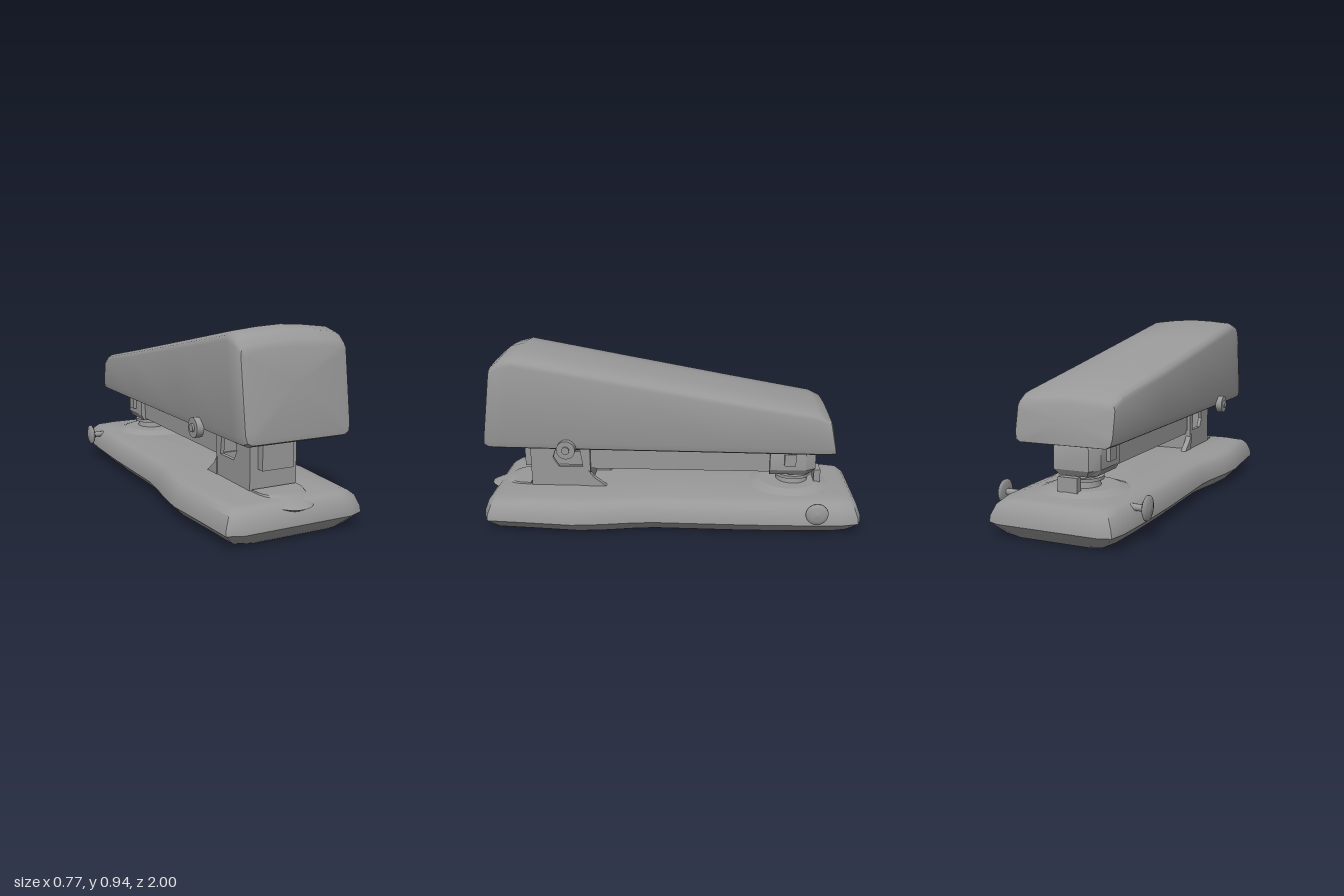
import * as THREE from 'three';
import { toCreasedNormals } from 'three/addons/utils/BufferGeometryUtils.js';

// Skin stacked rings of [x, y, z] points (counter-clockwise seen from the last ring) and cap both ends
function loft(rings, crease = 0.75) {
  const n = rings[0].length, pos = rings.flat(2), idx = [];
  for (let i = 0; i < rings.length - 1; i++) {
    for (let j = 0; j < n; j++) {
      const a = i * n + j, b = i * n + (j + 1) % n;
      idx.push(a, b, b + n, a, b + n, a + n);
    }
  }
  [rings[0], rings[rings.length - 1]].forEach((ring, end) => {
    const c = pos.length / 3, start = end ? (rings.length - 1) * n : 0;
    pos.push(...[0, 1, 2].map(k => ring.reduce((s, p) => s + p[k], 0) / n));
    for (let j = 0; j < n; j++) {
      const a = start + j, b = start + (j + 1) % n;
      idx.push(...(end ? [c, a, b] : [c, b, a]));
    }
  });
  const g = new THREE.BufferGeometry();
  g.setAttribute('position', new THREE.Float32BufferAttribute(pos, 3));
  g.setIndex(idx);
  return toCreasedNormals(g, crease);
}

export function createModel() {
  const group = new THREE.Group();
  const grey = new THREE.MeshStandardMaterial({ color: 0x999999 });
  grey.name = 'grey';

  const add = (name, geometry, x = 0, y = 0, z = 0) => {
    const mesh = new THREE.Mesh(geometry, grey);
    mesh.name = name;
    mesh.position.set(x, y, z);
    group.add(mesh);
    return mesh;
  };
  // Box given by its limits
  const box = (name, x0, x1, y0, y1, z0, z1) => add(name,
    new THREE.BoxGeometry(x1 - x0, y1 - y0, z1 - z0), (x0 + x1) / 2, (y0 + y1) / 2, (z0 + z1) / 2);

  // Base: waisted outline [z, half width], stacked with insets for the rounded edge
  const outline = [[0.975, 0.28], [0.945, 0.355], [0.72, 0.37], [0.5, 0.387], [0.35, 0.372], [0.2, 0.347],
    [0.08, 0.334], [-0.4, 0.34], [-0.7, 0.335], [-0.9, 0.325], [-0.98, 0.305], [-1, 0.25]];
  const layers = [[0, 0.08], [0.012, 0.06], [0.07, 0], [0.1, 0.004], [0.15, 0.025], [0.172, 0.05], [0.181, 0.09]];
  add('base', loft(layers.map(([y, inset]) => {
    const side = outline.map(([z, w]) => [w - inset, y, z * (1 - inset * 0.85)]);
    return [...side, ...side.map(([x, h, z]) => [-x, h, z]).reverse()];
  })));

  // Top cover: sections from back to front [z bottom, z top, y bottom, y top, half width, shoulder]
  const sections = [
    [-0.86, -0.825, 0.42, 0.6, 0.225, 0.04], [-0.855, -0.81, 0.418, 0.63, 0.245, 0.05],
    [-0.79, -0.75, 0.418, 0.658, 0.253, 0.05], [-0.3, -0.3, 0.424, 0.738, 0.262, 0.055],
    [0.3, 0.3, 0.43, 0.848, 0.27, 0.06], [0.86, 0.78, 0.436, 0.936, 0.276, 0.06],
    [0.93, 0.85, 0.438, 0.918, 0.276, 0.06], [0.957, 0.897, 0.45, 0.88, 0.268, 0.05],
    [0.96, 0.91, 0.475, 0.85, 0.24, 0.04]];
  add('cover', loft(sections.map(([zb, zt, yb, yt, w, s]) => {
    const half = [[0.88 * w, yb], [0.97 * w, yb + 0.012], [w, yb + 0.045], [w, yt - s],
      [0.97 * w, yt - s * 0.6], [0.88 * w, yt - s * 0.33], [0.45 * w, yt - s * 0.12]];
    const ring = [...half, [0, yt], ...half.map(([x, y]) => [-x, y]).reverse()];
    return ring.map(([x, y]) => [x, y, zb + (zt - zb) * (y - yb) / (yt - yb)]);
  })));

  // Staple magazine and its rear housing
  box('magazine', -0.1, 0.1, 0.272, 0.38, -0.55, 0.45);
  const rear = [[0.26, 0.02], [0.29, 0], [0.39, 0], [0.43, 0.015]];
  add('rearHousing', loft(rear.map(([y, i]) => [[0.125 - i, y, -0.53], [0.125 - i, y, -0.72],
    [0.09 - i, y, -0.775 + i], [-0.09 + i, y, -0.775 + i], [-0.125 + i, y, -0.72], [-0.125 + i, y, -0.53]]), 0.5));
  box('housingPin', -0.146, 0.146, 0.322, 0.386, -0.665, -0.605);

  // Spring seat under the rear of the magazine
  add('springSeat', new THREE.CylinderGeometry(0.16, 0.23, 0.025, 24), 0, 0.188, -0.64);
  add('springPost', new THREE.CylinderGeometry(0.07, 0.09, 0.1, 16), 0, 0.23, -0.66);
  add('springWasher', new THREE.CylinderGeometry(0.1, 0.1, 0.016, 20), 0, 0.238, -0.66);
  box('rearCatch', -0.05, 0.05, 0.17, 0.265, -0.81, -0.775);

  // Front guide: windowed cheeks, face plates and rear gussets
  const cheek = new THREE.Shape([[0.43, 0.17], [0.75, 0.17], [0.75, 0.45], [0.66, 0.45], [0.64, 0.41],
    [0.48, 0.41], [0.46, 0.45], [0.43, 0.45]].map(p => new THREE.Vector2(...p)));
  cheek.holes.push(new THREE.Path([[0.47, 0.29], [0.485, 0.395], [0.61, 0.4], [0.63, 0.34], [0.6, 0.29]]
    .map(p => new THREE.Vector2(...p))));
  const cheekGeometry = new THREE.ExtrudeGeometry(cheek, { depth: 0.02, bevelEnabled: false }).rotateY(-Math.PI / 2);
  for (const s of [1, -1]) {
    const side = s > 0 ? 'left' : 'right';
    add(side + 'Cheek', cheekGeometry, s > 0 ? 0.125 : -0.105, 0, 0);
    const gusset = [[0.33, 0.17], [0.44, 0.17], [0.44, 0.27], [0.41, 0.23]];
    const foot = new THREE.Shape(gusset.map(p => new THREE.Vector2(...p)));
    add(side + 'Gusset', new THREE.ExtrudeGeometry(foot, { depth: 0.03, bevelEnabled: false })
      .rotateY(-Math.PI / 2), s > 0 ? 0.13 : -0.1, 0, 0);

    // Cover pivot: flange with a small hub
    const pivot = add(side + 'Pivot', new THREE.CylinderGeometry(0.048, 0.048, 0.036, 20), s * 0.284, 0.448, 0.525);
    const hub = add(side + 'PivotHub', new THREE.CylinderGeometry(0.02, 0.02, 0.02, 14), s * 0.302, 0.448, 0.525);
    // Domed button on a short axle at the back of the base
    const axle = add(side + 'ButtonAxle', new THREE.CylinderGeometry(0.016, 0.016, 0.08, 10), s * 0.33, 0.15, -0.755);
    pivot.rotation.z = hub.rotation.z = axle.rotation.z = Math.PI / 2;
    const dome = [[0, -0.014], [0.045, -0.012], [0.058, -0.004], [0.056, 0.004], [0.035, 0.012], [0, 0.016]];
    const button = add(side + 'Button',
      new THREE.LatheGeometry(dome.map(p => new THREE.Vector2(...p)), 24), s * 0.371, 0.152, -0.755);
    button.rotation.z = -s * Math.PI / 2;
  }
  box('frontPlate', -0.125, 0.125, 0.17, 0.45, 0.725, 0.75);
  box('driverPlate', -0.083, 0.083, 0.278, 0.45, 0.75, 0.79);
  box('frontFloor', -0.125, 0.125, 0.17, 0.21, 0.43, 0.74);
  box('guideBack', -0.105, 0.105, 0.18, 0.29, 0.43, 0.46);

  // Rounded anvil tongue overhanging the front edge
  const tongue = [[0.115, 0.93, 0.6], [0.15, 1, 1], [0.186, 0.9, 0.98]].map(([y, tip, w]) => {
    const ring = [];
    for (let i = 0; i <= 14; i++) {
      const a = Math.PI * (1 - i / 14);
      ring.push([-0.122 * w * -Math.cos(a) * -1, y + (y > 0.16 ? 0.004 * Math.cos(a) ** 2 : 0),
        0.76 + (tip - 0.76) * Math.sin(a) ** 0.7]);
    }
    return ring[0][0] < ring[14][0] ? ring : ring.reverse();
  });
  add('anvilTongue', loft(tongue, 0.6));
  return group;
}
